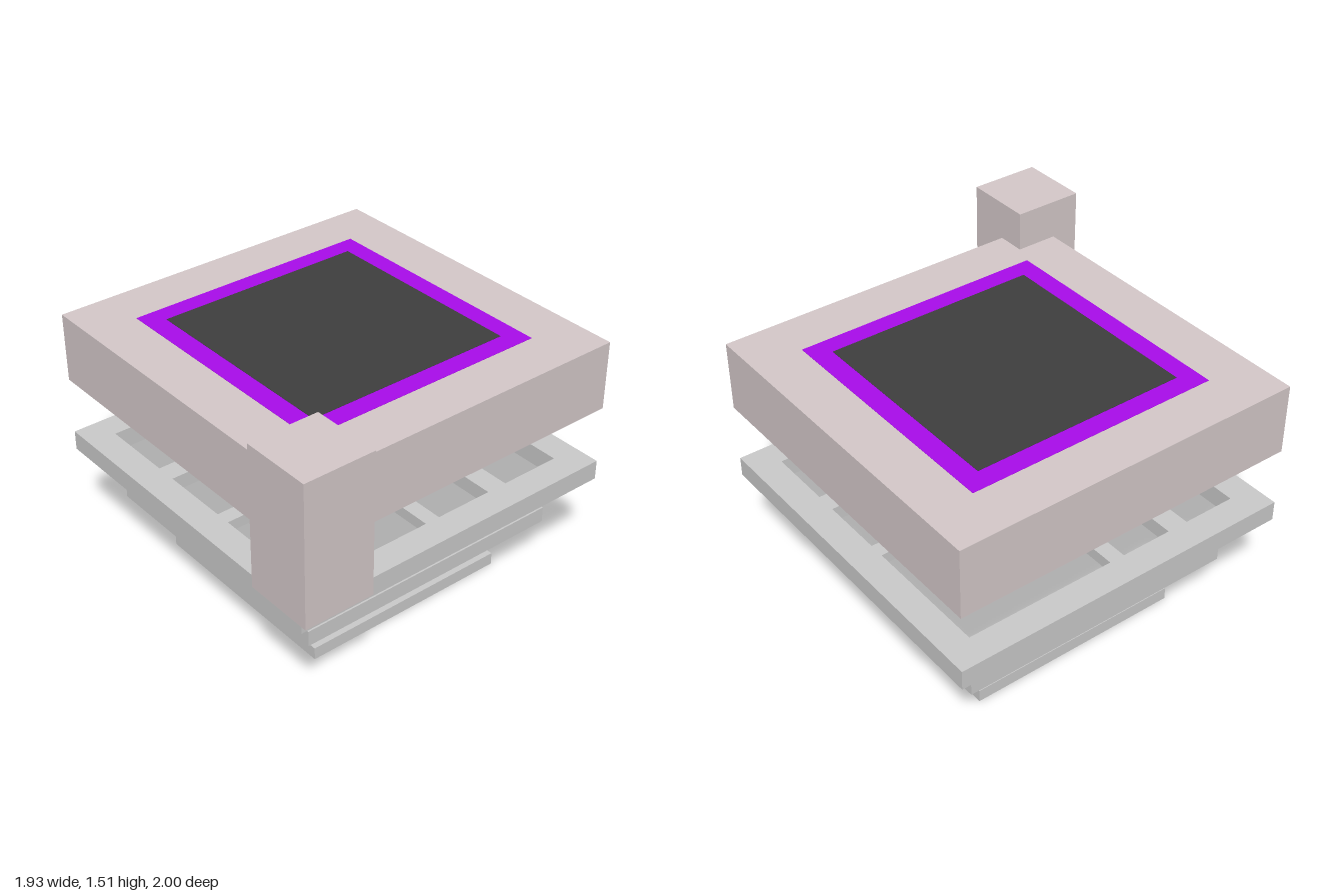
import * as THREE from 'three';

const CX = 0.07, CZ = -0.105; // shared centre of the slab and the rings

function material(color) {
  return new THREE.MeshStandardMaterial({ color, flatShading: true });
}

function addBox(parent, name, size, position, mat) {
  const mesh = new THREE.Mesh(new THREE.BoxGeometry(...size), mat);
  mesh.position.set(...position);
  mesh.name = name;
  parent.add(mesh);
}

// Square frame lying flat, with its underside at y
function addRing(parent, name, size, border, y, height, mat) {
  const h = size / 2, i = h - border;
  const shape = new THREE.Shape([[-h, -h], [h, -h], [h, h], [-h, h]].map(p => new THREE.Vector2(...p)));
  shape.holes.push(new THREE.Path([[-i, -i], [-i, i], [i, i], [i, -i]].map(p => new THREE.Vector2(...p))));
  const geometry = new THREE.ExtrudeGeometry(shape, { depth: height, bevelEnabled: false });
  geometry.rotateX(-Math.PI / 2);
  const mesh = new THREE.Mesh(geometry, mat);
  mesh.position.set(CX, y, CZ);
  mesh.name = name;
  parent.add(mesh);
}

export function createModel() {
  const model = new THREE.Group();
  model.name = 'floatingPlatform';
  const stone = material(0xd6cacb);
  const grey = material(0xcccccc);

  // Thick slab with inlays showing on its top and underside
  const slabY = 1.132, slabHeight = 0.355;
  addBox(model, 'slab', [1.79, slabHeight, 1.79], [CX, slabY, CZ], stone);
  addBox(model, 'purpleInlay', [1.29, slabHeight + 0.004, 1.29], [CX, slabY, CZ], material(0xaa0cec));
  addBox(model, 'darkPanel', [1.09, slabHeight + 0.008, 1.09], [CX, slabY, CZ], material(0x3f3f3f));

  // Post at the front right corner
  addBox(model, 'cornerPost', [0.355, 0.715, 0.355], [-0.79, 1.148, 0.8225], stone);

  // Rings shrinking downward
  addRing(model, 'upperRing', 1.79, 0.143, 0.555, 0.102, grey);
  addRing(model, 'middleRing', 1.46, 0.117, 0.283, 0.082, grey);
  addRing(model, 'lowerRing', 1.13, 0.09, 0, 0.065, grey);

  return model;
}
